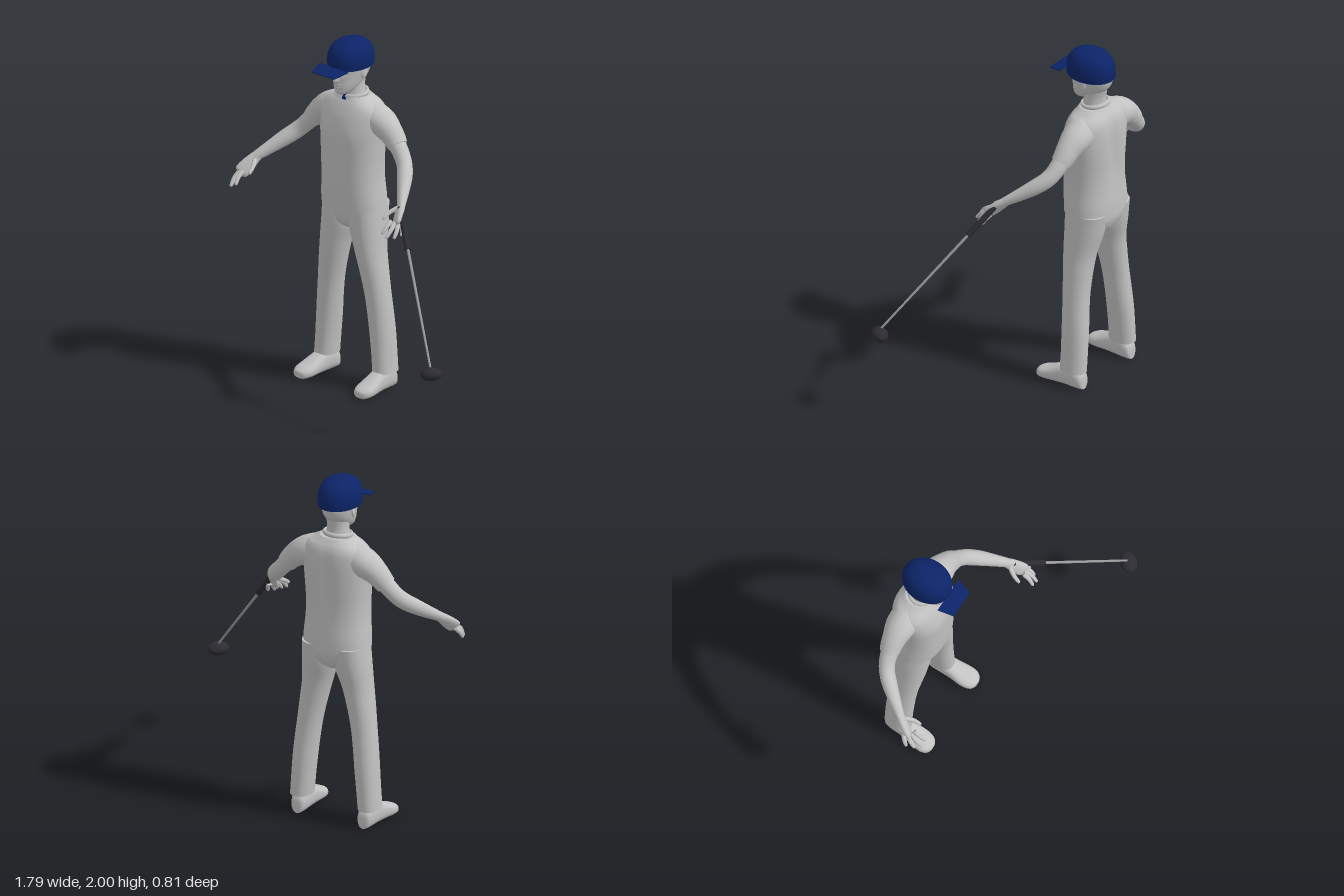
import * as THREE from 'three';

const CX = -0.275; // body centre line
const mat = (name, color) => Object.assign(new THREE.MeshStandardMaterial({ color }), { name });
const V = (x, y, z) => new THREE.Vector3(x, y, z);

// Smoothly subdivide rows of numbers
function refine(rows, k) {
  const out = [];
  for (let i = 0; i < rows.length - 1; i++) {
    const a = rows[Math.max(i - 1, 0)], b = rows[i], c = rows[i + 1], d = rows[Math.min(i + 2, rows.length - 1)];
    for (let s = 0; s < k; s++) {
      const t = s / k;
      out.push(b.map((_, n) => b[n] + 0.5 * t * (c[n] - a[n] + t * (2 * a[n] - 5 * b[n] + 4 * c[n] - d[n] + t * (3 * (b[n] - c[n]) + d[n] - a[n])))));
    }
  }
  out.push(rows[rows.length - 1]);
  return out;
}

// Skin rings {c, u, v}: u and v are half-axis vectors, power squares the ring off
function skin(rings, { n = 32, power = 2, warp } = {}) {
  const pos = [], idx = [];
  const addRing = (r) => {
    for (let j = 0; j < n; j++) {
      const a = (j / n) * Math.PI * 2, c = Math.cos(a), s = Math.sin(a);
      const p = r.c.clone()
        .addScaledVector(r.u, Math.sign(c) * Math.abs(c) ** (2 / power))
        .addScaledVector(r.v, Math.sign(s) * Math.abs(s) ** (2 / power));
      if (warp) warp(p);
      pos.push(p.x, p.y, p.z);
    }
  };
  rings.forEach(addRing);
  for (let i = 0; i < rings.length - 1; i++) for (let j = 0; j < n; j++) {
    const a = i * n + j, b = i * n + (j + 1) % n;
    idx.push(a, b, b + n, a, b + n, a + n);
  }
  [rings[0], rings[rings.length - 1]].forEach((r, end) => {
    const base = pos.length / 3;
    addRing(r);
    const m = r.c.clone();
    if (warp) warp(m);
    pos.push(m.x, m.y, m.z);
    for (let j = 0; j < n; j++) {
      const a = base + j, b = base + (j + 1) % n;
      idx.push(base + n, end ? a : b, end ? b : a);
    }
  });
  const g = new THREE.BufferGeometry();
  g.setAttribute('position', new THREE.Float32BufferAttribute(pos, 3));
  g.setIndex(idx);
  g.computeVertexNormals();
  return g;
}

// Upright form from rows [y, x, halfWidth, zFront, zBack], listed upwards
const upright = (rows, opt, k = 5) => skin(refine(rows, k).map(([y, x, w, f, b]) => ({
  c: V(CX + x, y, (f + b) / 2), u: V(0, 0, (f - b) / 2), v: V(w, 0, 0),
})), opt);

// Limb from rows [x, y, z, thickness, width]; ref is the width direction
function limb(rows, side, ref, opt, k = 4) {
  const r = refine(rows, k), p = r.map(([x, y, z]) => V(CX + side * x, y, z));
  const w = V(side * ref[0], ref[1], ref[2]);
  return skin(r.map((q, i) => {
    const t = p[Math.min(i + 1, p.length - 1)].clone().sub(p[Math.max(i - 1, 0)]).normalize();
    const v = w.clone().addScaledVector(t, -w.dot(t)).normalize();
    return { c: p[i], u: v.clone().cross(t).multiplyScalar(q[3]), v: v.multiplyScalar(q[4]) };
  }), opt);
}

export function createModel() {
  const root = new THREE.Group();
  root.name = 'golfer';
  const grey = mat('figure grey', 0xc2c2c2), navy = mat('cap navy', 0x0c2468);
  const dark = mat('club charcoal', 0x2c2c32), steel = mat('shaft steel', 0x9a9a9c);
  const add = (name, geo, m, parent = root) => {
    const mesh = new THREE.Mesh(geo, m);
    mesh.name = name;
    parent.add(mesh);
    return mesh;
  };
  const bump = (d, r) => Math.exp(-(d * d) / (r * r));

  // Head with nose, brow, eye sockets and lips pushed out of the face
  const face = (p) => {
    const x = p.x - CX, y = p.y;
    if (p.z < -0.19) return;
    p.z += 0.024 * bump(x, 0.012) * bump(y - 1.785, 0.016) + 0.012 * bump(x, 0.011) * bump(y - 1.815, 0.022)
      + 0.006 * bump(x, 0.05) * bump(y - 1.85, 0.012)
      - 0.011 * (bump(x - 0.03, 0.018) + bump(x + 0.03, 0.018)) * bump(y - 1.826, 0.012)
      + 0.007 * bump(x, 0.025) * (bump(y - 1.758, 0.006) + bump(y - 1.744, 0.006))
      + 0.007 * bump(x, 0.025) * bump(y - 1.715, 0.012);
  };
  add('head', upright([
    [1.698, 0, 0.02, -0.14, -0.18], [1.705, 0, 0.036, -0.128, -0.21], [1.725, 0, 0.053, -0.12, -0.25],
    [1.755, 0, 0.067, -0.117, -0.3], [1.79, 0, 0.077, -0.116, -0.337], [1.825, 0, 0.085, -0.115, -0.355],
    [1.86, 0, 0.09, -0.113, -0.36], [1.91, 0, 0.088, -0.12, -0.35],
  ], { n: 72, power: 2.15, warp: face }, 8), grey);
  add('neck', upright([
    [1.62, 0, 0.085, -0.17, -0.345], [1.68, 0, 0.066, -0.188, -0.322], [1.73, 0, 0.06, -0.185, -0.318], [1.79, 0, 0.062, -0.17, -0.33],
  ]), grey);

  // Shirt with a shallow spine groove and chest
  const cloth = (p) => {
    const x = p.x - CX, y = p.y;
    if (p.z < -0.3) p.z += 0.016 * bump(x, 0.035) * bump(y - 1.42, 0.17);
    if (p.z > -0.18) p.z += 0.006 * (bump(x - 0.08, 0.06) + bump(x + 0.08, 0.06)) * bump(y - 1.47, 0.07);
  };
  add('shirt', upright([
    [1.035, 0, 0.193, -0.117, -0.402], [1.1, 0, 0.189, -0.112, -0.4], [1.2, 0, 0.181, -0.106, -0.392],
    [1.3, 0, 0.181, -0.104, -0.39], [1.4, 0, 0.187, -0.104, -0.394], [1.49, 0, 0.194, -0.111, -0.394],
    [1.56, 0, 0.196, -0.127, -0.39], [1.605, 0, 0.19, -0.145, -0.382], [1.635, 0, 0.165, -0.16, -0.37],
    [1.655, 0, 0.128, -0.172, -0.356], [1.675, 0, 0.096, -0.182, -0.34],
  ], { n: 64, power: 2.35, warp: cloth }), grey);
  const collar = add('collar', new THREE.TorusGeometry(1, 0.13, 10, 40), grey);
  collar.scale.set(0.077, 0.07, 0.1);
  collar.rotation.x = Math.PI / 2 + 0.14;
  collar.position.set(CX, 1.683, -0.256);

  // Zip pull below the chin
  [[1.694, 0.028, 0.012], [1.678, 0.01, 0.022], [1.66, 0.026, 0.018]].forEach(([y, w, h]) => {
    add('zipPull', new THREE.BoxGeometry(w, h, 0.01), navy).position.set(CX - 0.001, y, -0.178);
  });

  // Seat of the trousers
  add('trouserSeat', upright([
    [0.905, 0, 0.03, -0.2, -0.33], [0.93, 0, 0.09, -0.165, -0.365], [0.97, 0, 0.16, -0.153, -0.385],
    [1.01, 0, 0.185, -0.148, -0.395], [1.06, 0, 0.184, -0.145, -0.395],
  ], { n: 48, power: 2.3 }), grey);

  // Paired parts: legs, shoes, ears, sleeves, arms, hands
  for (const s of [1, -1]) {
    const side = s > 0 ? 'left' : 'right';
    add(side + 'TrouserLeg', upright([
      [0.1, 0.213, 0.061, -0.194, -0.352], [0.2, 0.205, 0.062, -0.196, -0.352], [0.33, 0.194, 0.065, -0.194, -0.35],
      [0.45, 0.182, 0.067, -0.19, -0.342], [0.56, 0.168, 0.069, -0.183, -0.337], [0.68, 0.148, 0.075, -0.17, -0.339],
      [0.8, 0.125, 0.083, -0.157, -0.348], [0.93, 0.101, 0.098, -0.149, -0.377], [1.05, 0.096, 0.093, -0.146, -0.395],
    ].map(([y, x, ...r]) => [y, s * x, ...r]), { n: 40, power: 2.15 }), grey);

    // rows: z, x, halfWidth, halfHeight (sole stays on the ground)
    add(side + 'Shoe', skin(refine([
      [-0.347, 0.208, 0.016, 0.025], [-0.338, 0.208, 0.036, 0.045], [-0.3, 0.209, 0.048, 0.062], [-0.24, 0.211, 0.05, 0.063],
      [-0.18, 0.215, 0.054, 0.052], [-0.12, 0.219, 0.061, 0.038], [-0.08, 0.221, 0.056, 0.031], [-0.055, 0.221, 0.039, 0.024],
      [-0.045, 0.221, 0.018, 0.014],
    ], 4).map(([z, x, w, h]) => ({ c: V(CX + s * x, Math.max(h, 0.026), z), u: V(w, 0, 0), v: V(0, h, 0) })), { power: 2.5 }), grey);

    const ear = add(side + 'Ear', new THREE.SphereGeometry(1, 20, 14), grey);
    ear.scale.set(0.01, 0.034, 0.02);
    ear.position.set(CX + s * 0.087, 1.818, -0.24);
    ear.rotation.set(-0.2, s * -0.35, 0);

    add(side + 'Sleeve', limb([
      [0.06, 1.575, -0.27, 0.085, 0.07], [0.13, 1.562, -0.272, 0.088, 0.085], [0.195, 1.541, -0.274, 0.08, 0.083],
      [0.25, 1.505, -0.272, 0.069, 0.068], [0.285, 1.472, -0.27, 0.061, 0.061], [0.31, 1.443, -0.265, 0.056, 0.056],
    ], s, [0, 0, 1], { n: 40 }), grey);
    add(side + 'Arm', limb([
      [0.27, 1.485, -0.268, 0.05, 0.05], [0.32, 1.433, -0.262, 0.048, 0.048], [0.36, 1.39, -0.25, 0.045, 0.046],
      [0.395, 1.355, -0.228, 0.043, 0.046], [0.435, 1.317, -0.185, 0.042, 0.044], [0.48, 1.272, -0.125, 0.034, 0.037],
      [0.525, 1.226, -0.06, 0.024, 0.029], [0.535, 1.213, -0.045, 0.022, 0.028],
    ], s, [0.78, 0.1, 0.6], { n: 28 }), grey);

    const hand = new THREE.Group();
    hand.name = side + 'Hand';
    root.add(hand);
    add('palm', limb([
      [0.518, 1.232, -0.068, 0.02, 0.025], [0.535, 1.21, -0.042, 0.021, 0.032], [0.552, 1.175, -0.005, 0.02, 0.04],
      [0.565, 1.146, 0.025, 0.016, 0.041], [0.571, 1.135, 0.036, 0.007, 0.032],
    ], s, [0.78, 0.1, 0.6], { n: 24, power: 2.3 }), grey, hand);
    // finger rows: base, knuckle, tip
    const fingers = {
      thumb: [[0.522, 1.205, -0.03], [0.498, 1.182, 0.012], [0.49, 1.158, 0.048]],
      indexFinger: [[0.542, 1.155, 0.045], [0.542, 1.13, 0.082], [0.536, 1.1, 0.108]],
      middleFinger: [[0.56, 1.148, 0.036], [0.571, 1.118, 0.078], [0.569, 1.085, 0.11]],
      ringFinger: [[0.575, 1.143, 0.022], [0.592, 1.113, 0.054], [0.595, 1.08, 0.078]],
      littleFinger: [[0.587, 1.143, 0.005], [0.606, 1.115, 0.024], [0.613, 1.088, 0.038]],
    };
    for (const [name, [a, b, c]] of Object.entries(fingers)) {
      const tip = c.map((q, i) => q + (c[i] - b[i]) * 0.12);
      add(name, limb([[...a, 0.013, 0.013], [...b, 0.012, 0.012], [...c, 0.009, 0.009], [...tip, 0.003, 0.003]],
        s, [0.78, 0.1, 0.6], { n: 12 }), grey, hand);
    }
  }

  // Cap: domed crown and a tilted, tapering visor
  const crown = add('capCrown', new THREE.LatheGeometry(refine([
    [0, 1.853], [0.9, 1.853], [0.975, 1.854], [1, 1.885], [0.975, 1.918], [0.88, 1.952], [0.7, 1.979], [0.4, 1.996], [0, 2],
  ], 3).map(([r, y]) => new THREE.Vector2(Math.max(r, 0), y)), 48), navy);
  crown.scale.set(0.115, 1, 0.145);
  crown.position.set(-0.273, 0, -0.227);
  const bill = new THREE.Shape([[-0.105, 0], [0.105, 0], [0.08, -0.09], [-0.08, -0.09]].map(([x, y]) => new THREE.Vector2(x, y)));
  const visor = add('capVisor', new THREE.ExtrudeGeometry(bill, { depth: 0.006, bevelEnabled: false }), navy);
  visor.rotation.x = -Math.PI / 2 + 0.23;
  visor.position.set(-0.274, 1.862, -0.092);

  // Golf club: grip, shaft and flattened head
  const rod = (name, a, b, ra, rb, m) => {
    const mesh = add(name, new THREE.CylinderGeometry(rb, ra, a.distanceTo(b), 16), m);
    mesh.position.copy(a).lerp(b, 0.5);
    mesh.quaternion.setFromUnitVectors(V(0, 1, 0), b.clone().sub(a).normalize());
  };
  const butt = V(0.27, 1.215, -0.025), join = V(0.418, 1.037, 0.075), neck = V(0.828, 0.54, 0.348);
  rod('clubGrip', butt, join, 0.015, 0.018, dark);
  rod('clubShaft', join, neck, 0.008, 0.006, steel);
  const head = add('clubHead', new THREE.SphereGeometry(1, 32, 20), dark);
  head.scale.set(0.046, 0.037, 0.062);
  head.rotation.set(-0.12, -0.67, 0.2, 'ZYX');
  head.position.set(0.838, 0.504, 0.352);
  return root;
}
